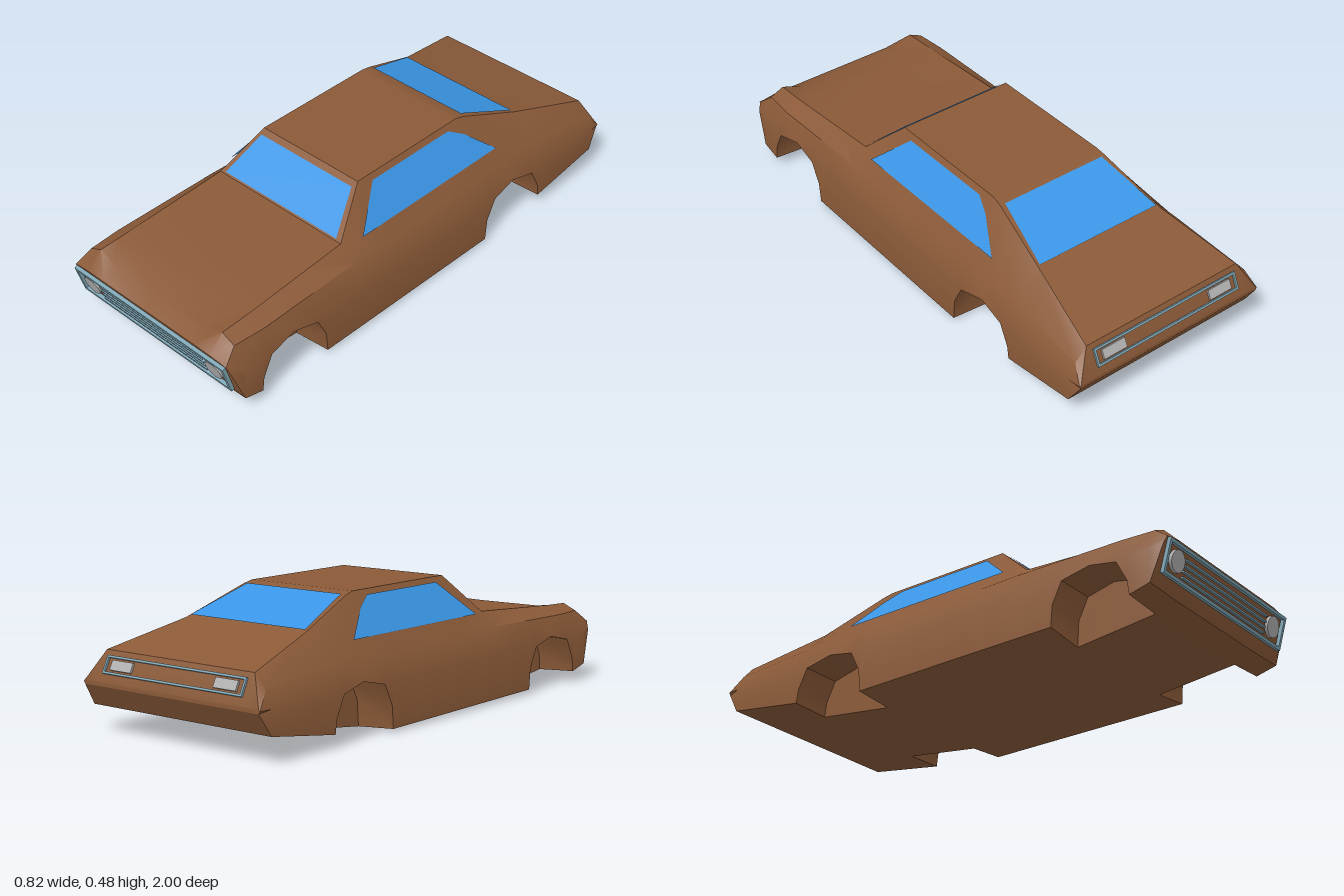
import * as THREE from 'three';
import { toCreasedNormals } from 'three/addons/utils/BufferGeometryUtils.js';

const mat = (name, color, side = THREE.FrontSide) => {
  const m = new THREE.MeshStandardMaterial({ color, side });
  m.name = name;
  return m;
};

// Upper body: z, shoulder x y, edge x y, inner x y, centre y
const UPPER = [
  [0.93, 0.365, 0.275, 0.31, 0.30, 0.23, 0.27, 0.267],
  [0.80, 0.375, 0.275, 0.31, 0.306, 0.26, 0.301, 0.298],
  [0.36, 0.37, 0.283, 0.305, 0.335, 0.25, 0.335, 0.335],
  [0.20, 0.37, 0.28, 0.235, 0.483, 0.20, 0.483, 0.483],
  [-0.34, 0.37, 0.28, 0.235, 0.483, 0.20, 0.483, 0.483],
  [-0.63, 0.37, 0.28, 0.275, 0.378, 0.24, 0.378, 0.378],
  [-0.95, 0.385, 0.25, 0.34, 0.30, 0.30, 0.30, 0.30],
];
// Underside: z, floor y, sill y
const LOWER = [
  [0.93, 0.06, 0.065], [0.85, 0.035, 0.045], [0.535, 0.003, 0.02],
  [-0.32, 0.003, 0.015], [-0.63, 0.045, 0.05], [-0.95, 0.10, 0.10],
];
// Wheel arch outline: z offset from the axle, height (0 = sill)
const ARCH = [[0.157, 0], [0.15, 0.10], [0.11, 0.18], [0, 0.205], [-0.11, 0.18], [-0.15, 0.10], [-0.157, 0]];
const AXLES = [0.692, -0.475];
const INNER = 0.255; // inner wall of the wheel wells

function sample(table, z) {
  for (let i = 0; i < table.length - 1; i++) {
    const a = table[i], b = table[i + 1];
    if (z >= b[0] - 1e-6) {
      const t = (a[0] - z) / (a[0] - b[0]);
      return a.map((v, k) => v + (b[k] - v) * t);
    }
  }
  return table[table.length - 1];
}

// Half section from bottom centre, out and up to top centre
function section(z, archY) {
  const [, sx, sy, ex, ey, ix, iy, cy] = sample(UPPER, z);
  const [, floor, sill] = sample(LOWER, z);
  const y = archY || sill;
  const waist = Math.max(0.19, y + 0.008);
  return [
    [0, floor, z], [INNER, floor, z], [INNER, archY || floor, z],
    [0.41 - Math.max(0, y - 0.19) * 0.44, y, z], [0.41 - (waist - 0.19) * 0.44, waist, z],
    [sx, sy, z], [ex, ey, z], [ix, iy, z], [0, cy, z],
  ];
}

function bodyGeometry() {
  const stations = new Map();
  for (const row of [...UPPER, ...LOWER]) {
    const inArch = AXLES.some((c) => Math.abs(row[0] - c) < 0.157);
    if (!inArch) stations.set(row[0], 0);
  }
  for (const c of AXLES) for (const [dz, y] of ARCH) stations.set(c + dz, y);
  // extra row where the hood sinks between the fenders, within the front arch
  const rows = [...stations].sort((a, b) => b[0] - a[0]).map(([z, y]) => section(z, y));

  // Slanted nose face and pointed tail
  const faceZ = (y) => 0.95 + (y - 0.10) * 0.3;
  rows.unshift([[0, 0.1], [INNER, 0.1], [INNER, 0.1], [0.393, 0.1], [0.398, 0.195], [0.385, 0.228],
    [0.31, 0.237], [0.23, 0.237], [0, 0.237]].map(([x, y]) => [x, y, faceZ(y)]));
  rows.push([[0, 0.18], [INNER, 0.18], [INNER, 0.18], [0.40, 0.18], [0.406, 0.19], [0.40, 0.195],
    [0.36, 0.198], [0.30, 0.198], [0, 0.198]].map(([x, y]) => [x, y, -1]));

  const rings = rows.map((h) => [...h, ...h.slice(1, -1).reverse().map(([x, y, z]) => [-x, y, z])]
    .map((p) => new THREE.Vector3(...p)));
  const pos = [];
  const tri = (a, b, c) => {
    const area = b.clone().sub(a).cross(c.clone().sub(a)).length();
    if (area > 1e-8) for (const p of [a, b, c]) pos.push(p.x, p.y, p.z);
  };
  const n = rings[0].length;
  for (let i = 0; i < rings.length - 1; i++) {
    for (let j = 0; j < n; j++) {
      const k = (j + 1) % n, A = rings[i], B = rings[i + 1];
      // mirror the diagonal so both sides match
      if (j < n / 2) { tri(A[j], B[j], A[k]); tri(B[j], B[k], A[k]); }
      else { tri(A[j], B[j], B[k]); tri(A[j], B[k], A[k]); }
    }
  }
  const front = rings[0], back = rings[rings.length - 1];
  const fc = new THREE.Vector3(0, 0.165, faceZ(0.165)), bc = new THREE.Vector3(0, 0.19, -1);
  for (let j = 0; j < n; j++) {
    const k = (j + 1) % n;
    tri(fc, front[j], front[k]);
    tri(bc, back[k], back[j]);
  }
  const g = new THREE.BufferGeometry();
  g.setAttribute('position', new THREE.Float32BufferAttribute(pos, 3));
  return toCreasedNormals(g, 0.5);
}

// Flat pane from a convex outline
function pane(points) {
  const pos = [];
  for (let i = 1; i < points.length - 1; i++) pos.push(...points[0], ...points[i], ...points[i + 1]);
  const g = new THREE.BufferGeometry();
  g.setAttribute('position', new THREE.Float32BufferAttribute(pos, 3));
  g.computeVertexNormals();
  return g;
}

// Rectangular trim ring
function frameGeometry(w, h, t, depth) {
  const rect = (S, a, b) => new S([[-a, -b], [a, -b], [a, b], [-a, b]].map((p) => new THREE.Vector2(...p)));
  const s = rect(THREE.Shape, w / 2, h / 2);
  s.holes.push(rect(THREE.Path, w / 2 - t, h / 2 - t));
  return new THREE.ExtrudeGeometry(s, { depth, bevelEnabled: false });
}

export function createModel() {
  const car = new THREE.Group();
  car.name = 'car';
  const paint = mat('brown paint', 0x8b5a38);
  const glass = mat('blue glass', 0x3a96e6, THREE.DoubleSide);
  const chrome = mat('steel trim', 0x7fa6b5);
  const lamp = mat('grey lamp', 0xb2b2b2);
  const add = (parent, name, geo, material, x = 0, y = 0, z = 0) => {
    const m = new THREE.Mesh(geo, material);
    m.name = name;
    m.position.set(x, y, z);
    parent.add(m);
    return m;
  };

  add(car, 'body', bodyGeometry(), paint);

  // Windows
  add(car, 'windshield', pane([[-0.28, 0.343, 0.357], [0.28, 0.343, 0.357], [0.226, 0.468, 0.222], [-0.226, 0.468, 0.222]]), glass);
  add(car, 'rearWindow', pane([[0.265, 0.387, -0.617], [-0.265, 0.387, -0.617], [-0.22, 0.476, -0.37], [0.22, 0.476, -0.37]]), glass);
  const sideOutline = [[0.28, 0.337], [-0.445, 0.337], [-0.33, 0.43], [-0.265, 0.465], [0.14, 0.465]];
  for (const s of [1, -1]) {
    const pts = sideOutline.map(([z, y]) => [s * (0.374 - (y - 0.28) * 0.665), y, z]);
    add(car, s > 0 ? 'leftWindow' : 'rightWindow', pane(pts), glass);
  }

  // Grille with headlights, on the slanted nose face
  const grille = new THREE.Group();
  grille.name = 'grille';
  grille.position.set(0, 0.165, 0.9695);
  grille.lookAt(0, 0.165 - 0.3, 1.9695);
  add(grille, 'grilleFrame', frameGeometry(0.76, 0.125, 0.012, 0.014), chrome);
  for (const y of [-0.035, -0.0145, 0.006, 0.0265]) {
    add(grille, 'grilleBar', new THREE.BoxGeometry(0.53, 0.007, 0.012), chrome, 0, y, 0.004);
  }
  for (const s of [1, -1]) {
    const g = new THREE.CylinderGeometry(0.039, 0.039, 0.012, 24).rotateX(Math.PI / 2);
    add(grille, 'headlight', g, lamp, s * 0.312, 0.003, 0.006);
  }
  car.add(grille);

  // Tail panel with lamps, on the upper slope of the tail
  const tail = new THREE.Group();
  tail.name = 'tailPanel';
  tail.position.set(0, 0.252, -0.9735);
  tail.lookAt(0, 0.252 + 0.44, -1.87);
  add(tail, 'tailFrame', frameGeometry(0.64, 0.066, 0.008, 0.008), chrome);
  for (const s of [1, -1]) {
    add(tail, 'tailLamp', new THREE.BoxGeometry(0.1, 0.036, 0.012), lamp, s * 0.24, 0, 0.002);
  }
  car.add(tail);
  return car;
}
